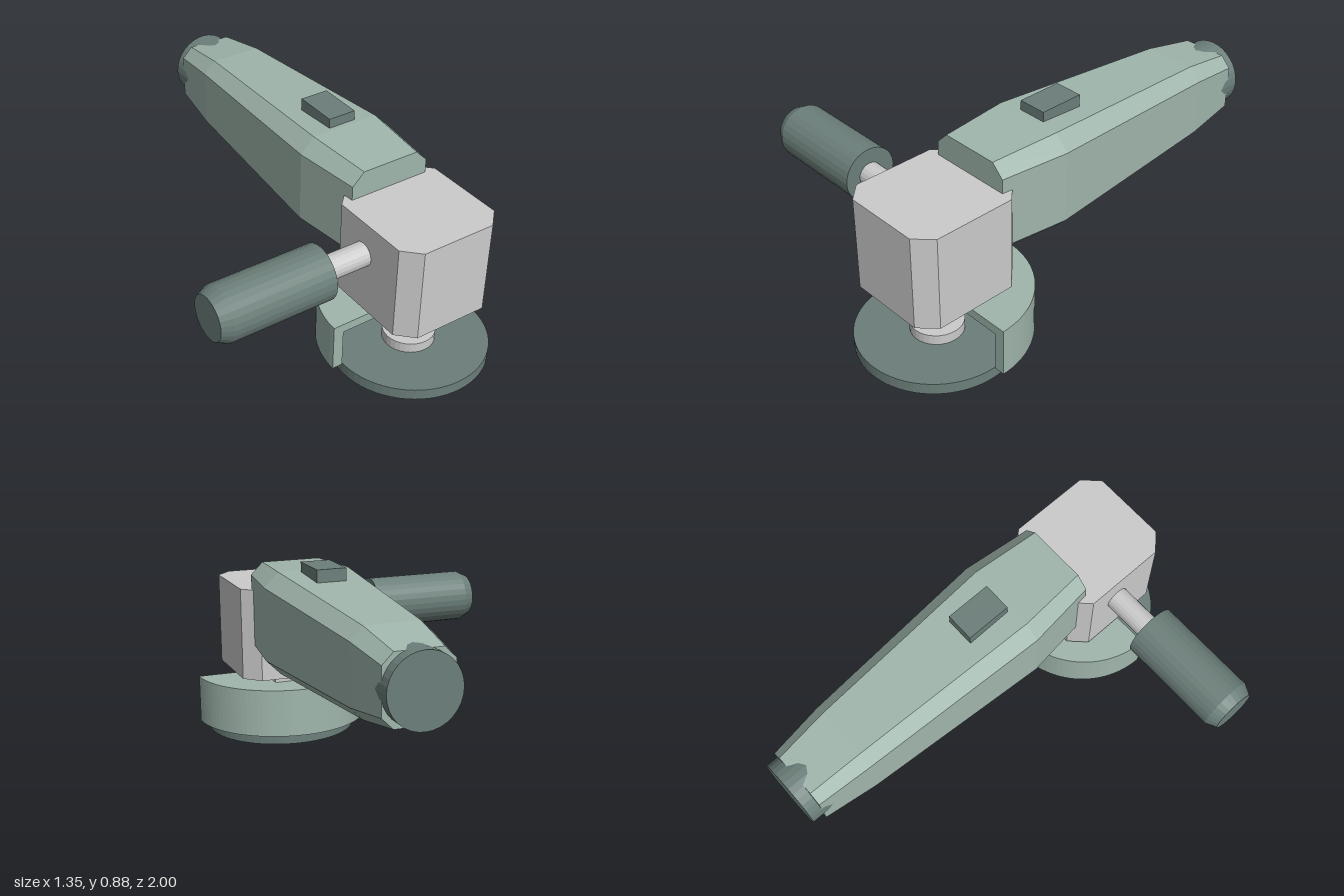
import * as THREE from 'three';

const CX = 0.278; // tool centre line
const SZ = 0.66; // spindle position along z

const mat = (color) => new THREE.MeshStandardMaterial({ color, flatShading: true });

export function createModel() {
  const model = new THREE.Group();
  const green = mat(0xa0b6ac), dark = mat(0x6c7f7a), grey = mat(0xcccccc);

  const add = (name, geometry, material, x, y, z) => {
    const mesh = new THREE.Mesh(geometry, material);
    mesh.name = name;
    mesh.position.set(x, y, z);
    model.add(mesh);
    return mesh;
  };
  const cylinder = (r, h, sides) => new THREE.CylinderGeometry(r, r, h, sides);
  // Plan outline (x, -z) raised upward from y = 0
  const raise = (shape, depth) =>
    new THREE.ExtrudeGeometry(shape, { depth, bevelEnabled: false, curveSegments: 24 }).rotateX(-Math.PI / 2);

  // Grinding disc, flange and spindle
  add('disc', cylinder(0.34, 0.05, 64), dark, CX, 0.025, SZ);
  add('flange', cylinder(0.113, 0.045, 32), grey, CX, 0.0725, SZ);
  add('spindle', cylinder(0.063, 0.25, 24), grey, CX, 0.2, SZ);

  // Half-round guard: outer wall and top plate
  const halfRing = (outer, inner) => {
    const s = new THREE.Shape();
    s.absarc(0, 0, outer, 0, Math.PI, false);
    s.absarc(0, 0, inner, Math.PI, 0, true);
    return s;
  };
  add('guardWall', raise(halfRing(0.395, 0.348), 0.175), green, CX, 0.055, SZ);
  add('guardTop', raise(halfRing(0.395, 0.12), 0.04), green, CX, 0.23, SZ);
  add('guardMount', new THREE.BoxGeometry(0.2, 0.04, 0.1), grey, CX, 0.28, 0.47);

  // Gear housing with cut vertical corners
  const w = 0.2385, d = 0.2525, c = 0.07;
  const plan = new THREE.Shape([
    [w, c - d], [w, d - c], [w - c, d], [c - w, d],
    [-w, d - c], [-w, c - d], [c - w, -d], [w - c, -d],
  ].map(([x, y]) => new THREE.Vector2(x, y)));
  add('gearHousing', raise(plan, 0.417), grey, CX, 0.29, 0.6525);

  // Motor body: octagonal sections [z, half width, bottom, top, corner cut]
  const sections = [
    [0.47, 0.187, 0.4, 0.823, 0.054],
    [0.16, 0.222, 0.385, 0.833, 0.064],
    [-0.7, 0.17, 0.425, 0.785, 0.054],
    [-0.945, 0.145, 0.46, 0.745, 0.046],
  ];
  const points = [], index = [];
  for (const [z, h, b, t, k] of sections) {
    points.push(h, b + k, z, h, t - k, z, h - k, t, z, k - h, t, z,
      -h, t - k, z, -h, b + k, z, k - h, b, z, h - k, b, z);
  }
  for (let s = 0; s < sections.length - 1; s++) {
    for (let i = 0; i < 8; i++) {
      const a = s * 8 + i, e = s * 8 + (i + 1) % 8;
      index.push(a, a + 8, e, e, a + 8, e + 8);
    }
  }
  const last = (sections.length - 1) * 8;
  for (let i = 1; i < 7; i++) index.push(0, i, i + 1, last, last + i + 1, last + i);
  const body = new THREE.BufferGeometry();
  body.setAttribute('position', new THREE.Float32BufferAttribute(points, 3));
  body.setIndex(index);
  body.computeVertexNormals();
  add('motorBody', body, green, CX, 0, 0);

  // Rear cap and power switch
  add('rearCap', cylinder(0.15, 0.12, 32).rotateX(Math.PI / 2), dark, CX, 0.605, -0.94);
  add('powerSwitch', new THREE.BoxGeometry(0.129, 0.08, 0.204), dark, CX, 0.835, 0.036);

  // Side handle: rod and chamfered grip, pointing to -x
  add('handleRod', cylinder(0.053, 0.26, 20).rotateZ(Math.PI / 2), grey, -0.06, 0.557, 0.62);
  const profile = [[0, 0], [0.119, 0], [0.119, 0.46], [0.096, 0.507], [0, 0.507]]
    .map(([r, y]) => new THREE.Vector2(r, y));
  add('handleGrip', new THREE.LatheGeometry(profile, 28).rotateZ(Math.PI / 2), dark, -0.168, 0.557, 0.62);

  return model;
}
